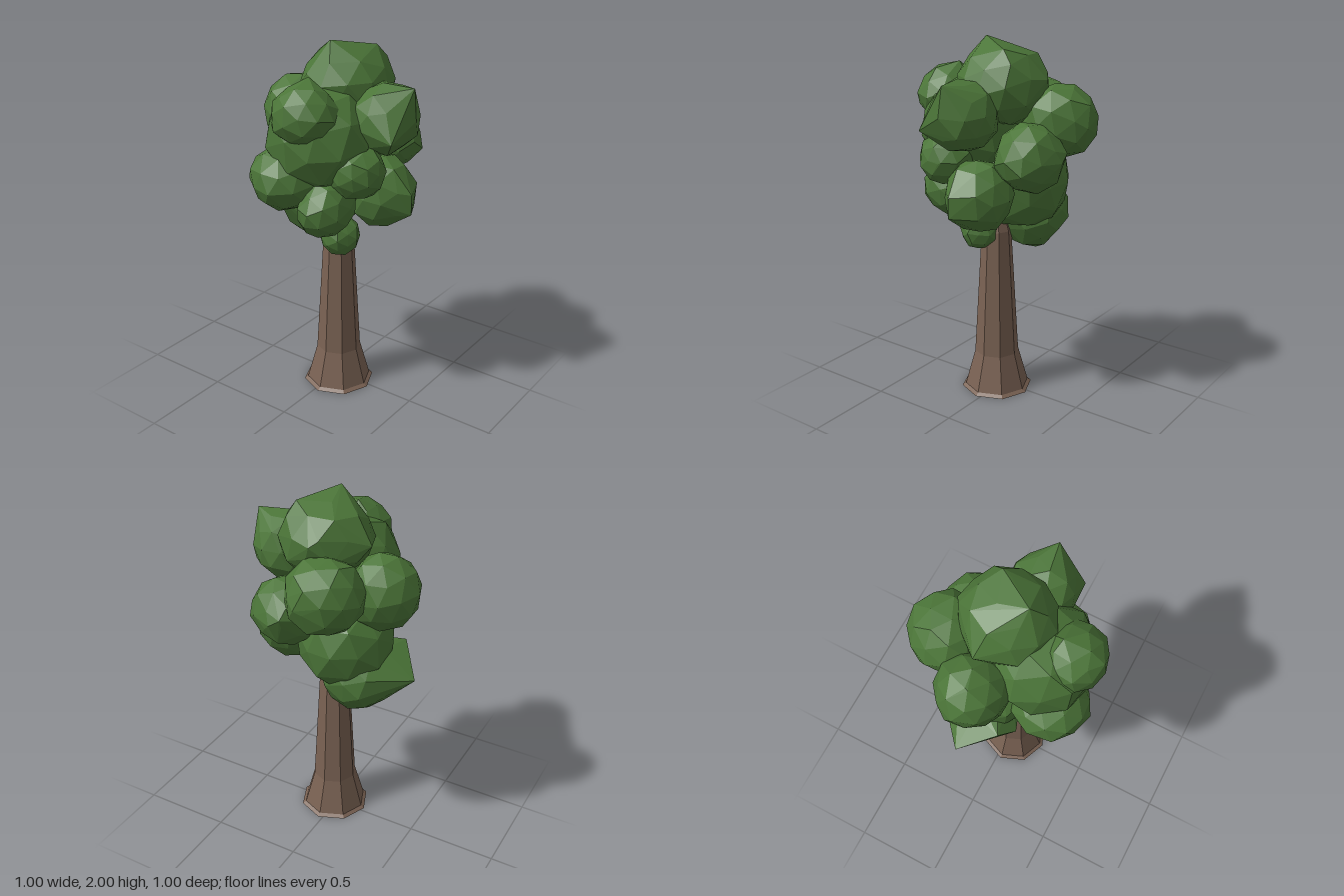
import * as THREE from 'three';
import { mergeVertices } from 'three/addons/utils/BufferGeometryUtils.js';
import { ConvexGeometry } from 'three/addons/geometries/ConvexGeometry.js';

const bark = new THREE.MeshStandardMaterial({ color: 0x7a6253, flatShading: true });
const leaf = new THREE.MeshStandardMaterial({ color: 0x4b7538, flatShading: true });

// Leaf clumps: name, centre, radii, optional corners that stick out of the ball
const clumps = [
  ['crownTop', [0.04, 1.76, -0.03], [0.25, 0.22, 0.255], [[-0.24, 1.78, -0.07], [0.02, 2.0, 0.09], [0.16, 1.96, -0.12], [0.0, 1.8, -0.28]]],
  ['crownCore', [0.02, 1.53, 0.165], [0.3, 0.29, 0.3]],
  ['frontUpperClump', [0.04, 1.67, 0.33], [0.18, 0.165, 0.175], [[0.02, 1.85, 0.27]]],
  ['frontLeafClump', [-0.105, 1.31, 0.29], [0.205, 0.185, 0.215]],
  ['frontLowerClump', [0.11, 1.17, 0.25], [0.15, 0.165, 0.18], [[0.04, 1.03, 0.15]]],
  ['smallLowClump', [0.08, 0.95, 0.09], [0.115, 0.115, 0.115]],
  ['rightLowerClump', [-0.18, 1.03, -0.07], [0.21, 0.21, 0.21], [[-0.5, 1.07, -0.06], [-0.18, 0.81, -0.1], [-0.36, 1.19, 0.12], [-0.27, 1.1, 0.18]]],
  ['rightUpperClump', [-0.305, 1.54, -0.05], [0.195, 0.21, 0.195], [[-0.37, 1.74, -0.04], [-0.27, 1.74, -0.04]]],
  ['leftUpperClump', [0.31, 1.63, 0.02], [0.18, 0.19, 0.19], [[0.48, 1.81, 0.02], [0.5, 1.65, 0.03], [0.46, 1.56, 0.19]]],
  ['leftLowerClump', [0.26, 1.21, -0.04], [0.185, 0.205, 0.185], [[0.47, 1.24, 0.0], [0.47, 1.13, 0.0]]],
  ['leftMiddleClump', [0.25, 1.38, 0.18], [0.155, 0.145, 0.155], [[0.39, 1.38, 0.13]]],
  ['backUpperClump', [-0.1, 1.575, -0.295], [0.21, 0.205, 0.21], [[-0.04, 1.57, -0.5]]],
  ['backLeftClump', [0.14, 1.42, -0.265], [0.185, 0.185, 0.19], [[0.32, 1.37, -0.34], [0.07, 1.46, -0.45], [0.13, 1.42, -0.46]]],
  ['backLowerClump', [-0.09, 1.22, -0.06], [0.275, 0.27, 0.28]],
];

// Corners of a unit ball with 80 faces
const ball = new THREE.IcosahedronGeometry(1, 1);
ball.deleteAttribute('normal');
ball.deleteAttribute('uv');
const corners = mergeVertices(ball, 1e-3).attributes.position;

// Uneven faceted ball, wrapped tightly together with its outlying corners
function createClump([name, centre, radii, tips = []], seed) {
  const c = new THREE.Vector3(...centre);
  const r = new THREE.Vector3(...radii);
  const turn = new THREE.Euler(seed * 1.3, seed * 2.1, seed * 0.7);
  const points = tips.map((tip) => new THREE.Vector3(...tip));
  for (let i = 0; i < corners.count; i++) {
    const size = 0.98 + 0.04 * Math.sin(i * 7.3 + seed * 5.1);
    points.push(new THREE.Vector3().fromBufferAttribute(corners, i)
      .applyEuler(turn).multiplyScalar(size).multiply(r).add(c));
  }
  const mesh = new THREE.Mesh(new ConvexGeometry(points), leaf);
  mesh.name = name;
  return mesh;
}

export function createModel() {
  const tree = new THREE.Group();
  tree.name = 'tree';

  // Eight-sided trunk with a flared foot and a closed base
  const profile = [[0, 0], [0.2, 0], [0.18, 0.015], [0.124, 0.22], [0.082, 0.95], [0.03, 1.12], [0, 1.12]]
    .map(([x, y]) => new THREE.Vector2(x, y));
  const trunk = new THREE.Mesh(new THREE.LatheGeometry(profile, 8), bark);
  trunk.name = 'trunk';
  trunk.position.set(0.025, 0, 0.025);
  tree.add(trunk);

  // Foliage
  const foliage = new THREE.Group();
  foliage.name = 'foliage';
  clumps.forEach((clump, i) => foliage.add(createClump(clump, i + 1)));
  tree.add(foliage);
  return tree;
}
